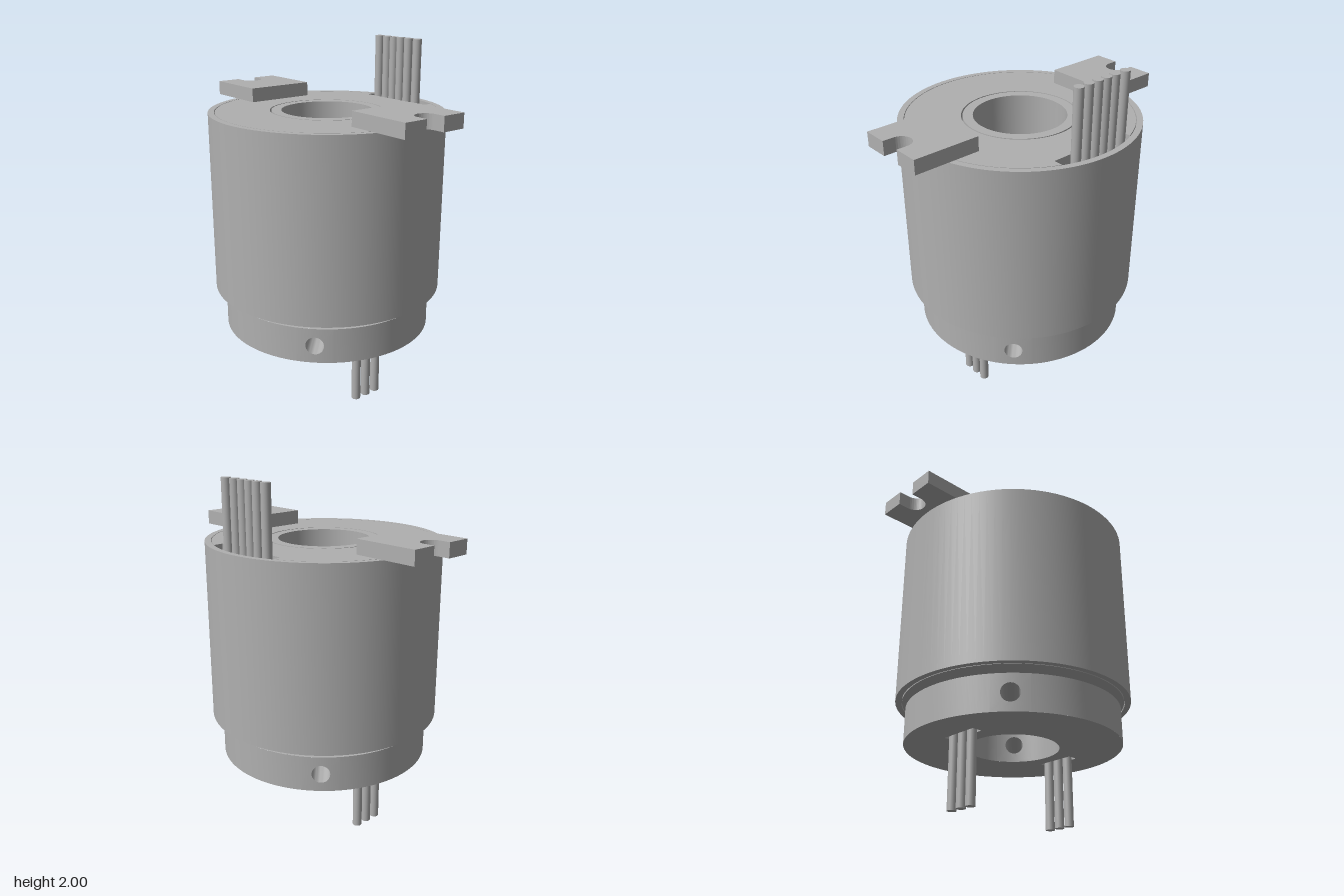
import * as THREE from 'three';
import { mergeGeometries, toCreasedNormals } from 'three/addons/utils/BufferGeometryUtils.js';

const R_OUT = 0.6, R_BORE = 0.255, HOLE = 0.05, PATCH = 0.1;
const Y0 = 0.385, Y1 = 0.585, YM = (Y0 + Y1) / 2;

// Grid surface from a point rule p(u, v), u and v in 0..1
function surface(p, nu, nv, flip) {
  const pos = [], idx = [];
  for (let j = 0; j <= nv; j++)
    for (let i = 0; i <= nu; i++) pos.push(...p(i / nu, j / nv));
  for (let j = 0; j < nv; j++)
    for (let i = 0; i < nu; i++) {
      const a = j * (nu + 1) + i, b = a + 1, c = a + nu + 1, d = c + 1;
      if (flip) idx.push(a, c, b, b, c, d);
      else idx.push(a, b, c, b, d, c);
    }
  const g = new THREE.BufferGeometry();
  g.setAttribute('position', new THREE.Float32BufferAttribute(pos, 3));
  g.setIndex(idx);
  return toCreasedNormals(g, 0.6);
}

// Cylindrical wall pierced by four round holes
function piercedWall(R, inward) {
  const parts = [], A = Math.asin(PATCH / R);
  for (let k = 0; k < 4; k++) {
    const turn = Math.PI / 4 + k * Math.PI / 2;
    const patch = surface((u, v) => {
      const t = u * Math.PI * 2, c = Math.cos(t), s = Math.sin(t);
      const r = THREE.MathUtils.lerp(HOLE, PATCH / Math.max(Math.abs(c), Math.abs(s)), v);
      return [c * r, YM + s * r, Math.sqrt(R * R - c * c * r * r)];
    }, 40, 4, !inward);
    const arc = surface((u, v) => {
      const t = A + u * (Math.PI / 2 - 2 * A);
      return [R * Math.sin(t), Y0 + v * (Y1 - Y0), R * Math.cos(t)];
    }, 24, 1, inward);
    parts.push(patch.rotateY(turn), arc.rotateY(turn));
  }
  return parts;
}

// Radial screw holes joining the bore to the outside
function tunnels() {
  return [0, 1, 2, 3].map(k => surface((u, v) => {
    const t = u * Math.PI * 2, x = HOLE * Math.cos(t);
    const z = THREE.MathUtils.lerp(Math.sqrt(R_BORE ** 2 - x * x), Math.sqrt(R_OUT ** 2 - x * x), v);
    return [x, YM + HOLE * Math.sin(t), z];
  }, 40, 1, true).rotateY(Math.PI / 4 + k * Math.PI / 2));
}

function rectPath(x, z, hw, hd, Type = THREE.Path) {
  return new Type([[-1, -1], [1, -1], [1, 1], [-1, 1]].map(
    ([a, b]) => new THREE.Vector2(x + a * hw, z + b * hd)));
}

// Flat plan shape (x, z) extruded downwards from y = 0
function slab(shape, depth) {
  return new THREE.ExtrudeGeometry(shape, { depth, bevelEnabled: false, curveSegments: 64 })
    .rotateX(Math.PI / 2);
}

export function createModel() {
  const model = new THREE.Group();
  const grey = new THREE.MeshStandardMaterial({ color: 0xb0b0b0 });
  grey.name = 'grey metal';
  const add = (name, geo, x = 0, y = 0, z = 0, parent = model) => {
    const m = new THREE.Mesh(geo, grey);
    m.name = name;
    m.position.set(x, y, z);
    parent.add(m);
    return m;
  };

  // Housing with neck, rim, top recess and bore
  const profile = [
    [0.44, Y1], [0.44, 0.625], [0.62, 0.625], [0.62, 0.64], [0.625, 0.64], [0.625, 0.625],
    [0.658, 0.625], [0.658, 1.64], [0.624, 1.64], [0.624, 1.55], [0.31, 1.55], [0.31, 1.64],
    [R_BORE, 1.64], [R_BORE, Y1],
  ].map(([r, y]) => new THREE.Vector2(r, y));
  add('housing', toCreasedNormals(new THREE.LatheGeometry(profile, 96), 0.5));

  // Top plate with a bore hole and a wire notch at its rim
  const plate = new THREE.Shape(), notch = Math.asin(0.24 / 0.62);
  plate.absarc(0, 0, 0.62, notch, Math.PI * 2 - notch, false);
  plate.lineTo(0.52, -0.24);
  plate.lineTo(0.52, 0.24);
  plate.closePath();
  const ring = new THREE.Path();
  ring.absarc(0, 0, 0.318, 0, Math.PI * 2, true);
  plate.holes.push(ring);
  add('topPlate', toCreasedNormals(slab(plate, 0.09), 0.5), 0, 1.64, 0);

  // Slotted mounting tabs, front and back
  const tab = new THREE.Shape();
  tab.moveTo(-0.2, 0.445);
  tab.lineTo(0.2, 0.445);
  tab.lineTo(0.2, 0.82);
  tab.lineTo(0.06, 0.82);
  tab.lineTo(0.06, 0.76);
  tab.absarc(0, 0.76, 0.06, 0, Math.PI, true);
  tab.lineTo(-0.06, 0.82);
  tab.lineTo(-0.2, 0.82);
  tab.closePath();
  const tabGeo = toCreasedNormals(slab(tab, 0.08), 0.5);
  add('frontTab', tabGeo, 0, 1.72);
  add('backTab', tabGeo, 0, 1.72).rotation.y = Math.PI;

  // Collar: pierced walls, screw holes and top face
  add('collarWalls', mergeGeometries([
    ...piercedWall(R_OUT, false), ...piercedWall(R_BORE, true), ...tunnels()]));
  add('collarTop', new THREE.RingGeometry(0.43, R_OUT, 96).rotateX(-Math.PI / 2), 0, Y1);

  // Collar underside with two wire slots
  const base = new THREE.Shape().absarc(0, 0, R_OUT, 0, Math.PI * 2, false);
  const bore = new THREE.Path().absarc(0, 0, R_BORE, 0, Math.PI * 2, true);
  base.holes.push(bore, rectPath(0, 0.362, 0.115, 0.032), rectPath(0, -0.362, 0.115, 0.032));
  add('collarBottom', new THREE.ShapeGeometry(base, 48).rotateX(Math.PI / 2), 0, Y0);
  const frame = rectPath(0, 0, 0.12, 0.037, THREE.Shape);
  frame.holes.push(rectPath(0, 0, 0.115, 0.032));
  for (const s of [1, -1]) {
    add('slotWall', slab(frame, 0.06), 0, Y0 + 0.062, s * 0.362);
    add('slotFloor', new THREE.BoxGeometry(0.24, 0.01, 0.074), 0, Y0 + 0.065, s * 0.362);
  }

  // Wires: six above, three under each slot
  const wires = new THREE.Group();
  wires.name = 'wires';
  model.add(wires);
  const upper = new THREE.CylinderGeometry(0.026, 0.026, 0.45, 24);
  [-0.183, -0.113, -0.055, 0.003, 0.066, 0.133].forEach((z, i) =>
    add('upperWire', upper, i === 0 || i === 5 ? 0.556 : 0.553, 1.775, z, wires));
  const lower = new THREE.CylinderGeometry(0.026, 0.026, 0.448, 24);
  for (const s of [1, -1])
    for (const x of [-0.072, 0, 0.072]) add('lowerWire', lower, x, 0.224, s * 0.36, wires);
  return model;
}
